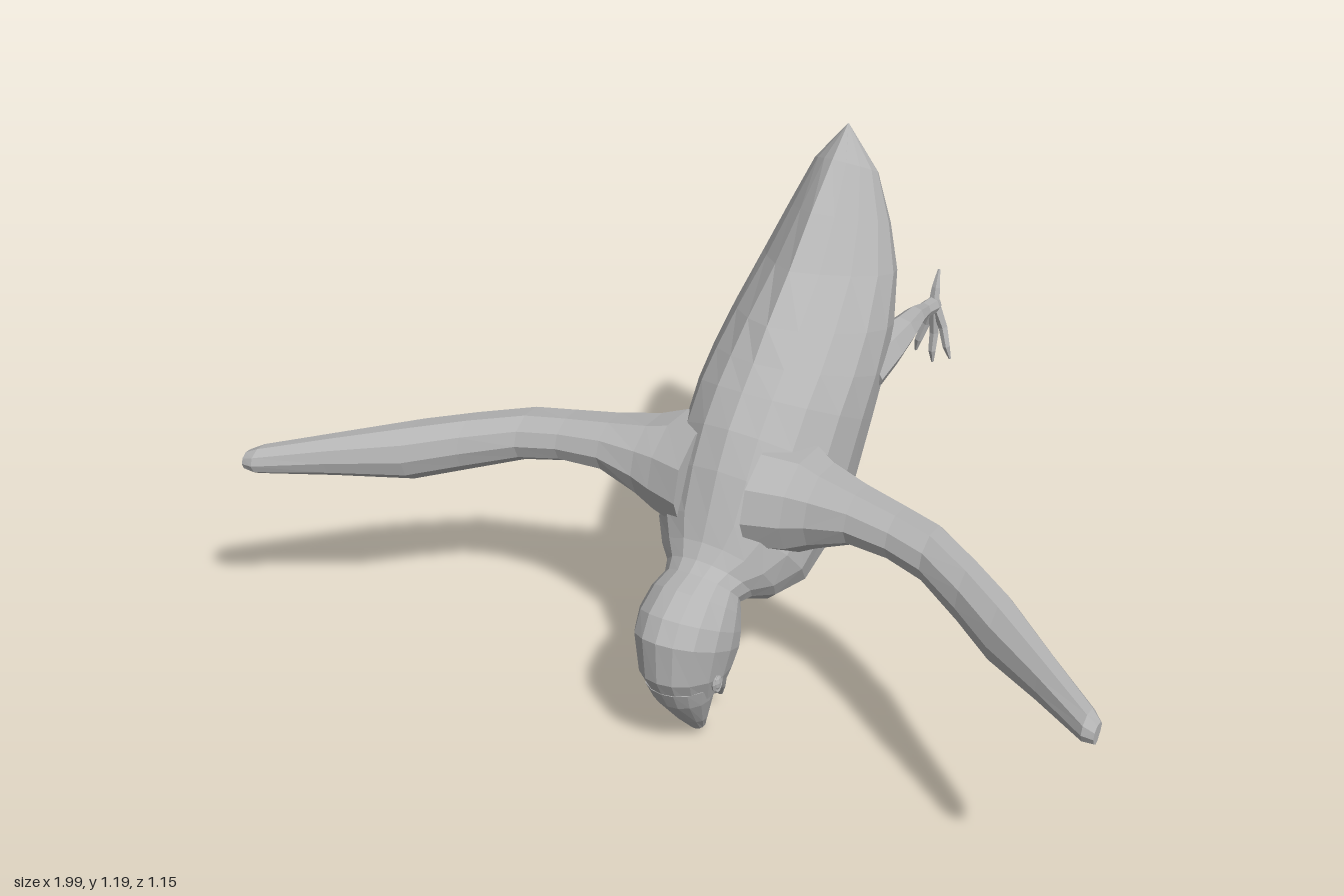
import * as THREE from 'three';

const plumage = new THREE.MeshStandardMaterial({ color: 0xb4b4b4, flatShading: true });
plumage.name = 'plain grey';

const V = (x, y, z) => new THREE.Vector3(x, y, z);

// Skin closed rings of equal length, cap both ends and face everything outward.
function loft(name, rings) {
  const tris = [];
  const n = rings[0].length;
  for (let i = 0; i < rings.length - 1; i++) {
    for (let j = 0; j < n; j++) {
      const k = (j + 1) % n;
      const a = rings[i][j], b = rings[i][k], c = rings[i + 1][k], d = rings[i + 1][j];
      tris.push([a, b, c], [a, c, d]);
    }
  }
  [rings[0], rings[rings.length - 1]].forEach((ring, end) => {
    const mid = ring.reduce((s, p) => s.add(p), V(0, 0, 0)).divideScalar(n);
    for (let j = 0; j < n; j++) {
      const k = (j + 1) % n;
      tris.push(end ? [ring[j], ring[k], mid] : [ring[k], ring[j], mid]);
    }
  });
  let volume = 0;
  for (const [a, b, c] of tris) volume += a.dot(b.clone().cross(c));
  const points = tris.flatMap(t => (volume < 0 ? [t[0], t[2], t[1]] : t));
  const geometry = new THREE.BufferGeometry().setFromPoints(points);
  geometry.computeVertexNormals();
  const mesh = new THREE.Mesh(geometry, plumage);
  mesh.name = name;
  return mesh;
}

// Half outline of a section: [fraction from back to belly, fraction of half width]
const HALF = [[0, 0], [0.03, 0.35], [0.13, 0.68], [0.3, 0.92], [0.5, 1], [0.7, 0.92], [0.87, 0.68], [0.97, 0.35], [1, 0]];

// Symmetric section from a back point to a belly point; bias < 1 moves the widest part to the belly.
function section([bz, by, fz, fy, w, bias = 1]) {
  const at = (s, x) => {
    const t = Math.pow(s, bias);
    return V(x * w, by + (fy - by) * t, bz + (fz - bz) * t);
  };
  return [...HALF.map(([s, x]) => at(s, x)), ...HALF.slice(1, -1).reverse().map(([s, x]) => at(s, -x))];
}

// Tapered limb along a path of [x, y, z, radius]
function limb(name, path, sides = 7) {
  const pts = path.map(p => V(p[0], p[1], p[2]));
  const rings = pts.map((p, i) => {
    const dir = pts[Math.min(i + 1, pts.length - 1)].clone().sub(pts[Math.max(i - 1, 0)]).normalize();
    const u = V(1, 0, 0).addScaledVector(dir, -dir.x).normalize();
    const v = dir.clone().cross(u);
    return Array.from({ length: sides }, (_, j) => {
      const a = (j / sides) * Math.PI * 2;
      return p.clone().addScaledVector(u, Math.cos(a) * path[i][3]).addScaledVector(v, Math.sin(a) * path[i][3]);
    });
  });
  return loft(name, rings);
}

// Wing from stations of [x, front z, rear z, top y, bottom y]
function wing(side) {
  const stations = [
    [0.08, 0.27, 0.03, 0.67, 0.43],
    [0.16, 0.245, 0.02, 0.66, 0.44],
    [0.21, 0.232, 0.055, 0.648, 0.47],
    [0.30, 0.225, 0.09, 0.635, 0.515],
    [0.40, 0.235, 0.115, 0.625, 0.52],
    [0.49, 0.26, 0.14, 0.62, 0.51],
    [0.60, 0.325, 0.205, 0.61, 0.487],
    [0.70, 0.395, 0.27, 0.60, 0.47],
    [0.84, 0.485, 0.395, 0.588, 0.495],
    [0.97, 0.573, 0.505, 0.575, 0.515],
    [0.995, 0.572, 0.53, 0.565, 0.522],
  ];
  // Rounded front, thin rear edge near the top, keel underneath
  const shape = [[0, 0.5], [0.1, 0.8], [0.4, 1], [0.8, 0.97], [1, 0.75], [0.9, 0.45], [0.55, 0.05], [0.35, 0], [0.1, 0.2]];
  const rings = stations.map(([x, zf, zr, yt, yb]) =>
    shape.map(([s, h]) => V(side * x, yb + (yt - yb) * h, zf + (zr - zf) * s)));
  return loft(side > 0 ? 'leftWing' : 'rightWing', rings);
}

function leg(side) {
  const group = new THREE.Group();
  group.name = side > 0 ? 'leftLeg' : 'rightLeg';
  const x = side * 0.14;
  // Thigh and shank
  group.add(limb('shank', [
    [side * 0.125, 0.69, -0.2, 0.06],
    [side * 0.138, 0.705, -0.3, 0.048],
    [side * 0.147, 0.715, -0.37, 0.035],
    [side * 0.145, 0.715, -0.44, 0.025],
    [x, 0.7, -0.5, 0.018],
    [x, 0.69, -0.545, 0.02],
    [x, 0.685, -0.565, 0.016],
  ]));
  // Three front toes hanging down, one hind toe pointing up
  for (const spread of [-1, 0, 1]) {
    const long = spread === 0 ? 0.02 : 0;
    group.add(limb('toe', [
      [x, 0.695, -0.558, 0.014],
      [x + spread * 0.022, 0.63 - long, -0.565, 0.011],
      [x + spread * 0.036, 0.585 - long, -0.557, 0.009],
      [x + spread * 0.044, 0.552 - long, -0.562, 0.003],
    ], 5));
  }
  group.add(limb('hindToe', [
    [x, 0.68, -0.555, 0.014],
    [x, 0.73, -0.565, 0.01],
    [x, 0.77, -0.578, 0.003],
  ], 5));
  return group;
}

function eye(side) {
  const group = new THREE.Group();
  group.name = side > 0 ? 'leftEye' : 'rightEye';
  const lid = new THREE.Mesh(new THREE.TorusGeometry(0.02, 0.005, 5, 10), plumage);
  lid.name = 'eyelid';
  const ball = new THREE.Mesh(new THREE.SphereGeometry(0.018, 10, 6), plumage);
  ball.name = 'eyeball';
  ball.scale.z = 0.5;
  group.add(lid, ball);
  group.scale.set(0.75, 1.2, 1);
  group.position.set(side * 0.086, 0.215, 0.385);
  group.rotation.set(0, side * Math.PI / 2, 0);
  return group;
}

export function createModel() {
  const model = new THREE.Group();
  model.name = 'divingBird';

  // Tail, trunk, neck and head: [back z, back y, belly z, belly y, half width, bias]
  model.add(loft('body', [
    [-0.374, 1.19, -0.376, 1.187, 0.002],
    [-0.30, 1.135, -0.408, 1.07, 0.075, 0.6],
    [-0.20, 1.05, -0.412, 0.96, 0.118, 0.55],
    [-0.10, 0.955, -0.408, 0.86, 0.152, 0.6],
    [0.0, 0.87, -0.385, 0.745, 0.175, 0.75],
    [0.06, 0.81, -0.345, 0.64, 0.185, 0.9],
    [0.11, 0.765, -0.285, 0.525, 0.188],
    [0.17, 0.705, -0.19, 0.375, 0.188],
    [0.22, 0.63, -0.07, 0.29, 0.185],
    [0.265, 0.54, 0.055, 0.255, 0.172],
    [0.29, 0.49, 0.15, 0.267, 0.135],
    [0.315, 0.46, 0.205, 0.30, 0.1],
    [0.345, 0.445, 0.235, 0.307, 0.087],
    [0.40, 0.435, 0.234, 0.28, 0.098],
    [0.46, 0.40, 0.229, 0.25, 0.106],
    [0.492, 0.355, 0.228, 0.22, 0.106],
    [0.492, 0.25, 0.243, 0.19, 0.092],
    [0.455, 0.17, 0.252, 0.16, 0.073],
  ].map(section)));

  // Open bill
  model.add(loft('upperBill', [
    [0.475, 0.21, 0.30, 0.19, 0.076],
    [0.45, 0.16, 0.315, 0.15, 0.066],
    [0.385, 0.075, 0.325, 0.08, 0.042],
    [0.34, 0.022, 0.31, 0.035, 0.02],
    [0.292, 0.003, 0.29, 0.006, 0.003],
  ].map(section)));
  model.add(loft('lowerBill', [
    [0.32, 0.185, 0.25, 0.18, 0.062],
    [0.30, 0.15, 0.252, 0.145, 0.05],
    [0.262, 0.085, 0.237, 0.09, 0.03],
    [0.225, 0.037, 0.217, 0.037, 0.006],
  ].map(section)));

  for (const side of [-1, 1]) model.add(wing(side), leg(side), eye(side));
  return model;
}
